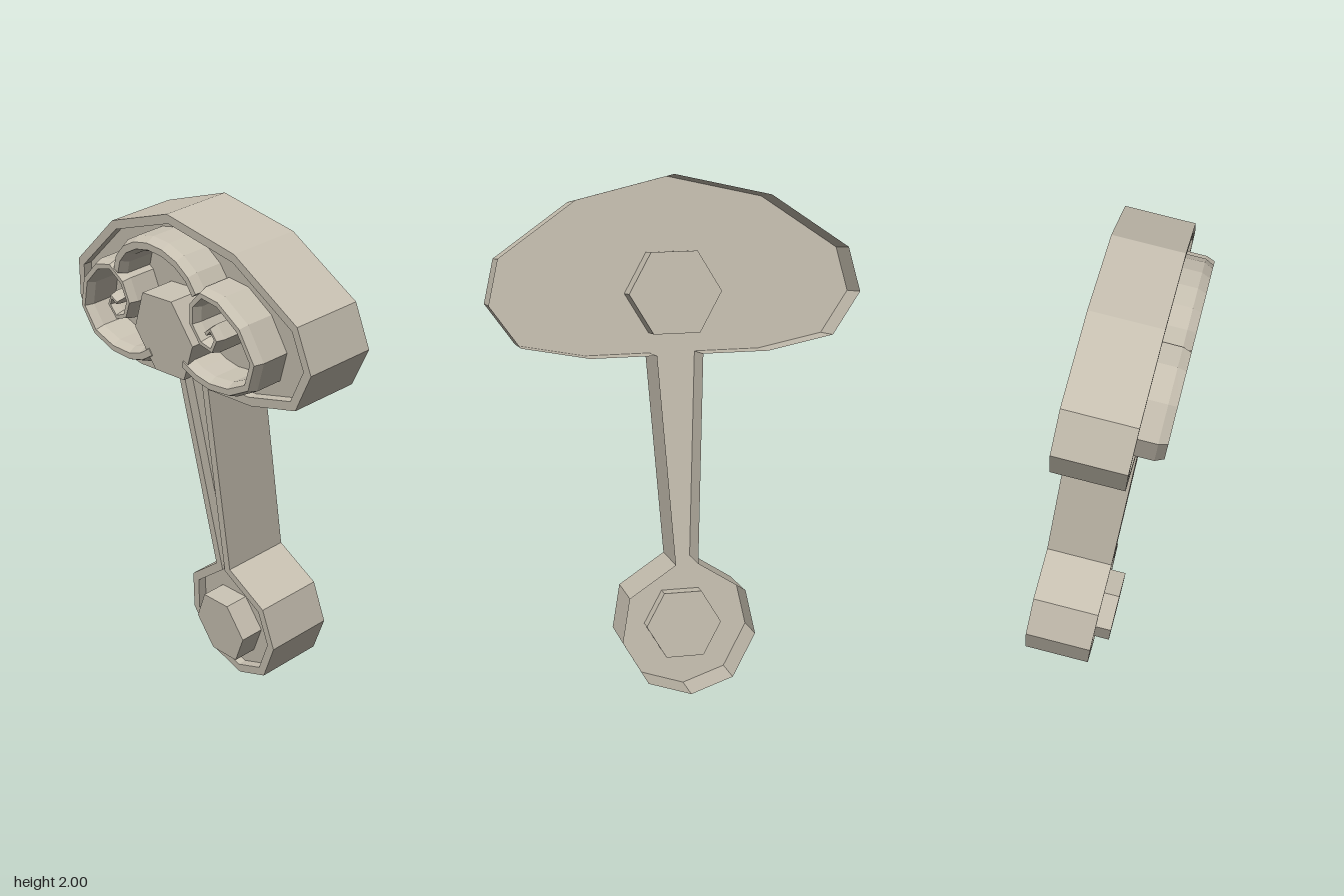
import * as THREE from 'three';

const stone = new THREE.MeshStandardMaterial({ color: 0xc6bfb0, flatShading: true, side: THREE.DoubleSide });
stone.name = 'stone';

function add(parent, name, geometry) {
  const mesh = new THREE.Mesh(geometry, stone);
  mesh.name = name;
  parent.add(mesh);
  return mesh;
}

// Skin between successive cross-section rings of [x, y, z]
function loft(rings, closed) {
  const pos = [];
  const n = rings[0].length;
  for (let i = 0; i < rings.length - 1; i++) {
    for (let j = 0; j < (closed ? n : n - 1); j++) {
      const k = (j + 1) % n;
      const a = rings[i][j], b = rings[i][k], c = rings[i + 1][k], d = rings[i + 1][j];
      pos.push(...a, ...b, ...c, ...a, ...c, ...d);
    }
  }
  const g = new THREE.BufferGeometry();
  g.setAttribute('position', new THREE.Float32BufferAttribute(pos, 3));
  g.computeVertexNormals();
  return g;
}

// Mitred inset of a closed counter-clockwise outline
function inset(points, dist) {
  const n = points.length;
  return points.map((p, i) => {
    const a = p.clone().sub(points[(i + n - 1) % n]).normalize();
    const b = points[(i + 1) % n].clone().sub(p).normalize();
    const na = new THREE.Vector2(-a.y, a.x), nb = new THREE.Vector2(-b.y, b.x);
    const m = na.clone().add(nb).normalize();
    return p.clone().addScaledVector(m, dist / Math.max(0.4, m.dot(na)));
  });
}

// Raised band with chamfered edges following a flat path
function band(points, widthStart, widthEnd) {
  const n = points.length;
  const rings = points.map(([x, y], i) => {
    const p = points[Math.max(0, i - 1)], q = points[Math.min(n - 1, i + 1)];
    const t = new THREE.Vector2(q[0] - p[0], q[1] - p[1]).normalize();
    const w = THREE.MathUtils.lerp(widthStart, widthEnd, i / (n - 1));
    return [[-1, -0.1], [-1, 0.07], [-0.45, 0.103], [0.45, 0.103], [1, 0.07], [1, -0.1]]
      .map(([s, z]) => [x - t.y * s * w, y + t.x * s * w, z]);
  });
  // close both ends
  const flat = (r) => r.map(() => [0, 1, 2].map((k) => (r[0][k] + r[3][k]) / 2));
  rings.unshift(flat(rings[0]));
  rings.push(flat(rings[rings.length - 1]));
  return loft(rings, true);
}

export function createModel() {
  const model = new THREE.Group();
  model.name = 'sceptre';
  const body = new THREE.Group();
  body.name = 'tiltedBody';
  body.rotation.x = 0.176;
  body.position.set(0, 0, -0.08);
  model.add(body);

  // Right half of the outline: round foot, tapered stem, wide head
  const half = [
    [0, 0.005], [0.165, 0.06], [0.258, 0.225], [0.225, 0.396], [0.043, 0.513],
    [0.088, 1.315], [0.34, 1.315], [0.595, 1.365], [0.706, 1.525], [0.665, 1.695],
    [0.37, 1.9], [0, 1.985],
  ];
  const outline = [...half, ...half.slice(1, -1).reverse().map(([x, y]) => [-x, y])]
    .map(([x, y]) => new THREE.Vector2(x, y));
  const inner = inset(outline, 0.035);
  const ring = (pts, z) => pts.map((p) => [p.x, p.y, z]);

  // Outer wall, front rim and the step down to the sunken face
  add(body, 'shellWallAndRim', loft([
    ring(outline, -0.27), ring(outline, 0), ring(inner, 0), ring(inner, -0.035),
  ], true));
  add(body, 'sunkenFace', new THREE.ShapeGeometry(new THREE.Shape(inner))).position.z = -0.035;
  add(body, 'innerBackFace', new THREE.ShapeGeometry(new THREE.Shape(outline))).position.z = -0.1;

  // Six-sided bosses on head and foot, passing through the face
  for (const [name, y, r, front, back] of [
    ['headBoss', 1.546, 0.178, 0.1, -0.22],
    ['footBoss', 0.255, 0.147, 0.062, -0.165],
  ]) {
    const g = new THREE.CylinderGeometry(r, r, front - back, 6);
    g.rotateY(Math.PI / 6).rotateX(Math.PI / 2);
    add(body, name, g).position.set(0, y, (front + back) / 2);
    g.computeBoundingBox();
    // keep corners pointing left and right
    if (g.boundingBox.max.x < r * 0.95) g.rotateZ(Math.PI / 6);
  }

  // Curled cloud scrolls, one each side
  const scroll = [
    [0.1, 1.46], [0.17, 1.425], [0.25, 1.408], [0.36, 1.415], [0.47, 1.46], [0.522, 1.56],
    [0.47, 1.675], [0.37, 1.75], [0.28, 1.765], [0.215, 1.715], [0.195, 1.64],
    [0.235, 1.575], [0.295, 1.56], [0.328, 1.605], [0.305, 1.64], [0.275, 1.62],
  ];
  for (const side of [1, -1]) {
    const path = scroll.map(([x, y]) => [x * side, y]);
    add(body, side > 0 ? 'leftScroll' : 'rightScroll', band(path, 0.031, 0.014));
  }

  // Arch joining the scrolls over the head boss
  const arch = [];
  for (let i = 0; i <= 8; i++) {
    const a = Math.PI * (0.06 + 0.88 * i / 8);
    arch.push([0.245 * Math.cos(a), 1.725 + 0.17 * Math.sin(a)]);
  }
  add(body, 'scrollArch', band(arch, 0.03, 0.03));

  return model;
}
